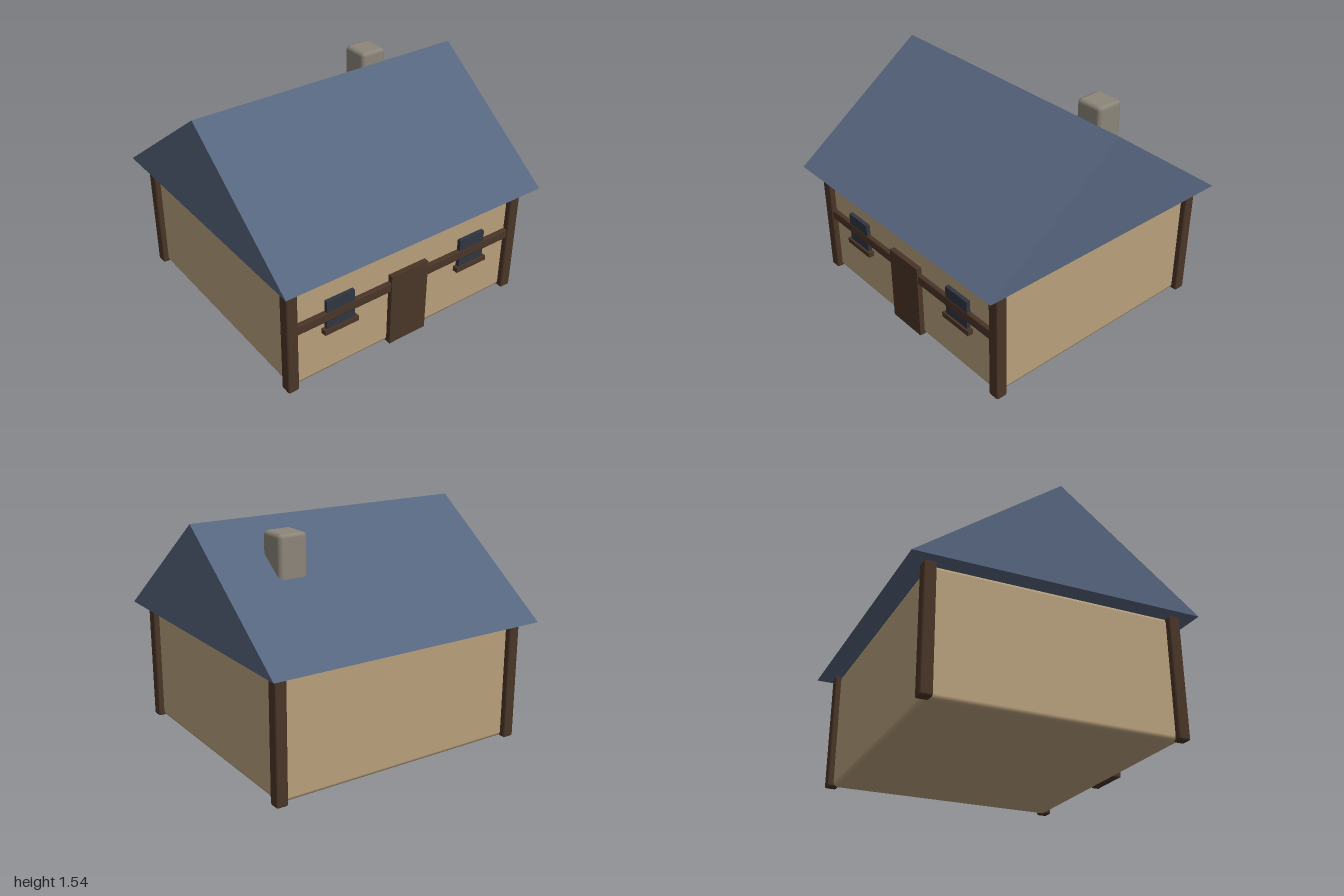
import * as THREE from 'three';
import { RoundedBoxGeometry } from 'three/addons/geometries/RoundedBoxGeometry.js';

const mat = (color) => new THREE.MeshStandardMaterial({ color });

export function createModel() {
  const house = new THREE.Group();
  house.name = 'house';

  const plaster = mat(0xb8a07c);
  const wood = mat(0x4a3527);
  const slate = mat(0x56657f);
  const glass = mat(0x2f3540);
  const stone = mat(0x8c857a);

  // Box centred at (x, y, z); a bevel above zero softens its edges
  function box(name, material, [w, h, d], [x, y, z], bevel = 0) {
    const geometry = bevel
      ? new RoundedBoxGeometry(w, h, d, 1, bevel)
      : new THREE.BoxGeometry(w, h, d);
    const mesh = new THREE.Mesh(geometry, material);
    mesh.name = name;
    mesh.position.set(x, y, z);
    house.add(mesh);
  }

  const wallX = 0.895, wallZ = 0.825, eaves = 0.825;

  // Walls
  box('walls', plaster, [wallX * 2, eaves, wallZ * 2], [0, eaves / 2, 0], 0.03);

  // Corner posts
  for (const sx of [-1, 1]) {
    for (const sz of [-1, 1]) {
      box('cornerPost', wood, [0.08, eaves, 0.08], [sx * wallX, eaves / 2, sz * wallZ], 0.012);
    }
  }

  // Front timber beams
  box('middleBeam', wood, [wallX * 2, 0.07, 0.06], [0, 0.455, wallZ], 0.01);
  box('topBeam', wood, [wallX * 2, 0.07, 0.06], [0, eaves, wallZ], 0.01);

  // Door
  box('door', wood, [0.295, 0.54, 0.05], [0, 0.27, 0.836]);

  // Windows with sills
  for (const s of [-1, 1]) {
    box('window', glass, [0.21, 0.23, 0.04], [s * 0.535, 0.455, 0.832]);
    box('windowSill', wood, [0.255, 0.035, 0.06], [s * 0.535, 0.347, 0.835]);
  }

  // Solid gable roof: triangle drawn across z and extruded along x
  const gable = new THREE.Shape([
    new THREE.Vector2(-0.965, eaves),
    new THREE.Vector2(0.965, eaves),
    new THREE.Vector2(0, 1.537),
  ]);
  const roofGeometry = new THREE.ExtrudeGeometry(gable, { depth: 2, bevelEnabled: false });
  roofGeometry.translate(0, 0, -1).rotateY(Math.PI / 2);
  const roof = new THREE.Mesh(roofGeometry, slate);
  roof.name = 'roof';
  house.add(roof);

  // Chimney on the back slope
  box('chimney', stone, [0.2, 0.5, 0.2], [0.53, 1.25, -0.323], 0.027);

  return house;
}
